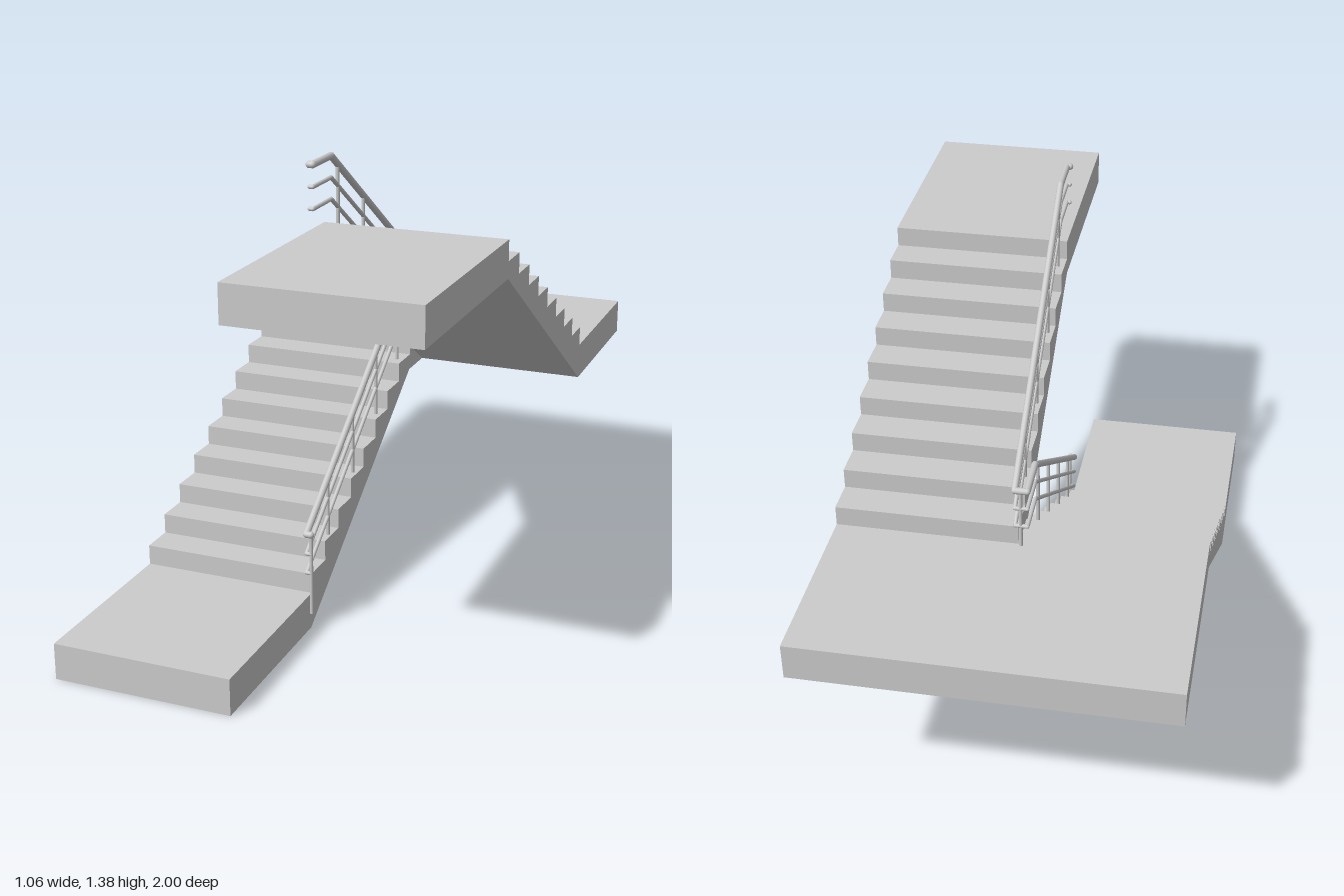
import * as THREE from 'three';

const mat = new THREE.MeshStandardMaterial({ color: 0xcccccc });
const WIDTH = 0.53, SLAB = 0.108, RISE = 0.0597, RUN = 0.1015, STEPS = 9;
const BACK = -0.468, LAND_Y = 0.537;

// Solid from a (z, y) profile, spanning x0 to x0 + width
function profileSolid(name, pts, x0, width) {
  const shape = new THREE.Shape(pts.map(([z, y]) => new THREE.Vector2(z, y)));
  const geo = new THREE.ExtrudeGeometry(shape, { depth: width, bevelEnabled: false });
  geo.rotateY(-Math.PI / 2).translate(x0 + width, 0, 0);
  const mesh = new THREE.Mesh(geo, mat);
  mesh.name = name;
  return mesh;
}

// Zigzag of steps; dir is the z direction of climbing
function steps(z, y, dir) {
  const pts = [[z, y]];
  for (let i = 0; i < STEPS; i++) {
    y += RISE;
    pts.push([z, y]);
    if (i < STEPS - 1) pts.push([z += dir * RUN, y]);
  }
  return pts;
}

// Round bar between two points
function bar(name, a, b, r) {
  const d = b.clone().sub(a);
  const mesh = new THREE.Mesh(new THREE.CylinderGeometry(r, r, d.length(), 12), mat);
  mesh.position.copy(a).addScaledVector(d, 0.5);
  mesh.quaternion.setFromUnitVectors(new THREE.Vector3(0, 1, 0), d.normalize());
  mesh.name = name;
  return mesh;
}

// Bent pipe: bars with rounded joints
function pipe(name, pts, r) {
  const g = new THREE.Group();
  g.name = name;
  pts.forEach((p, i) => {
    const joint = new THREE.Mesh(new THREE.SphereGeometry(r, 12, 8), mat);
    joint.position.copy(p);
    joint.name = 'railJoint';
    g.add(joint);
    if (i) g.add(bar('railBar', pts[i - 1], p, r));
  });
  return g;
}

export function createModel() {
  const model = new THREE.Group();
  model.name = 'staircase';

  // Lower flight with the ground platform
  model.add(profileSolid('lowerFlight', [
    [1, 0], [1, SLAB], ...steps(0.462, SLAB, -1),
    [BACK, LAND_Y + SLAB], [BACK, LAND_Y], [-0.345, LAND_Y], [0.468, 0],
  ], -WIDTH, WIDTH));

  // Upper flight with the top platform
  model.add(profileSolid('upperFlight', [
    [BACK, LAND_Y], ...steps(BACK, LAND_Y + SLAB, 1),
    [1, 2 * LAND_Y + SLAB], [1, 2 * LAND_Y], [0.345, 2 * LAND_Y],
  ], 0, WIDTH));

  // Full-width landing at the back
  model.add(profileSolid('landing', [
    [-1, LAND_Y], [-1, LAND_Y + SLAB], [BACK, LAND_Y + SLAB], [BACK, LAND_Y],
  ], -WIDTH, 2 * WIDTH));

  // Continuous railing: up the lower flight, round the turn, up the upper flight
  const V = (x, y, z) => new THREE.Vector3(x, y, z);
  const path = [
    V(0.005, 0.297, 0.475), V(-0.009, 0.297, 0.475), V(-0.024, 0.832, -0.34),
    V(-0.026, 0.832, -0.472), V(0.009, 0.832, -0.472),
    V(0.021, 1.369, 0.345), V(0.023, 1.369, 0.475), V(0.014, 1.369, 0.475),
  ];
  const railing = new THREE.Group();
  railing.name = 'railing';
  [['handrail', 0, 0.01], ['middleRail', 0.06, 0.006], ['lowerRail', 0.12, 0.006]].forEach(([name, drop, r]) =>
    railing.add(pipe(name, path.map((p) => p.clone().setY(p.y - drop)), r)));

  // Posts standing on the treads, reaching up to the sloping handrail
  function flightPosts(a, b, zs, treadY) {
    zs.forEach((z, i) => {
      const top = a.clone().lerp(b, (z - a.z) / (b.z - a.z));
      railing.add(bar('post', V(top.x, treadY + 2 * RISE * i, z), top, 0.0055));
    });
  }
  flightPosts(path[1], path[2], [0.31, 0.107, -0.096, -0.292], SLAB + 2 * RISE);
  flightPosts(path[4], path[5], [-0.307, -0.103, 0.1, 0.296], LAND_Y + SLAB + 2 * RISE);

  // End post at the foot and turning post on the landing
  railing.add(bar('footPost', V(0.0055, 0.05, 0.475), V(0.0055, 0.297, 0.475), 0.0055));
  railing.add(bar('turnPost', V(-0.007, LAND_Y + SLAB, -0.472), V(-0.007, 0.832, -0.472), 0.0055));
  model.add(railing);

  return model;
}
